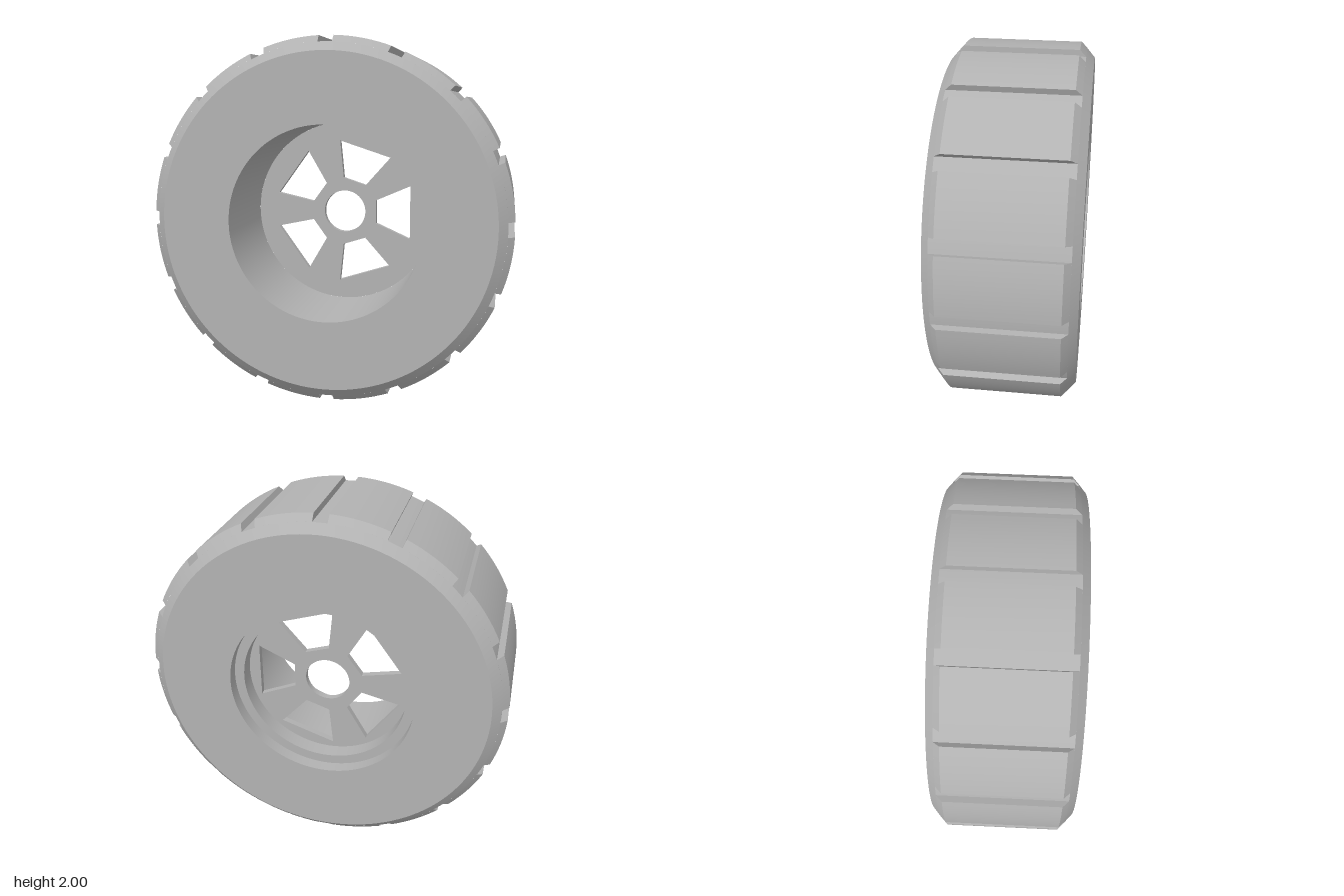
import * as THREE from 'three';
import { mergeGeometries, toCreasedNormals } from 'three/addons/utils/BufferGeometryUtils.js';

const GROOVES = 16;
const TREAD_R = 1, FLOOR_R = 0.965, GROOVE_HALF = 0.04;
const DISC_FRONT = -0.18, DISC_BACK = -0.215, RECESS_R = 0.535;

const vec = ([x, y]) => new THREE.Vector2(x, y);

// Profile of [radius, z] points turned about the y axis
const turn = (profile, segments, start = 0, length = Math.PI * 2) =>
  new THREE.LatheGeometry(profile.map(vec), segments, start, length);

// One raised tread block between two grooves, closed at both ends
function treadGeometry() {
  const profile = [[FLOOR_R, -0.333], [TREAD_R, -0.3], [TREAD_R, 0.3], [FLOOR_R, 0.333]];
  const gap = Math.asin(GROOVE_HALF / TREAD_R);
  const start = gap, end = Math.PI * 2 / GROOVES - gap;
  const startCap = new THREE.ShapeGeometry(new THREE.Shape(profile.map(vec)));
  const endCap = startCap.clone().rotateX(Math.PI);
  startCap.rotateY(start - Math.PI / 2);
  endCap.rotateY(end - Math.PI / 2);
  const merged = mergeGeometries([turn(profile, 8, start, end - start), startCap, endCap]);
  return toCreasedNormals(merged, 0.5).rotateX(Math.PI / 2);
}

// Wheel disc with a hub hole and five tapered windows
function discGeometry() {
  const shape = new THREE.Shape().absarc(0, 0, RECESS_R, 0, Math.PI * 2, false);
  shape.holes.push(new THREE.Path().absarc(0, 0, 0.125, 0, Math.PI * 2, true));
  const corners = [[0.19, 0.07], [0.395, 0.16], [0.395, -0.16], [0.19, -0.07]];
  for (let i = 0; i < 5; i++) {
    const angle = i * Math.PI * 2 / 5;
    const origin = new THREE.Vector2();
    shape.holes.push(new THREE.Path(corners.map(c => vec(c).rotateAround(origin, angle))));
  }
  const geometry = new THREE.ExtrudeGeometry(shape, {
    depth: DISC_FRONT - DISC_BACK, bevelEnabled: false, curveSegments: 48,
  });
  return toCreasedNormals(geometry, 0.5).translate(0, 0, DISC_BACK);
}

export function createModel() {
  const group = new THREE.Group();
  group.name = 'wheel';
  const grey = new THREE.MeshStandardMaterial({ color: 0xb2b2b2 });
  grey.name = 'grey';

  const add = (name, geometry, parent = group) => {
    const mesh = new THREE.Mesh(geometry, grey);
    mesh.name = name;
    parent.add(mesh);
    return mesh;
  };

  // Tyre body: groove floor, sidewalls, deep front recess and stepped back recess
  const body = turn([
    [0.46, DISC_BACK], [0.46, -0.305], [0.515, -0.305], [0.515, -0.375],
    [0.917, -0.375], [FLOOR_R, -0.333], [FLOOR_R, 0.333], [0.917, 0.375],
    [RECESS_R, 0.375], [RECESS_R, DISC_FRONT],
  ], 128);
  add('tyreBody', toCreasedNormals(body, 0.5).rotateX(Math.PI / 2));

  add('wheelDisc', discGeometry());

  // Tread blocks around the rim
  const treads = new THREE.Group();
  treads.name = 'treadBlocks';
  group.add(treads);
  const tread = treadGeometry();
  for (let i = 0; i < GROOVES; i++) {
    add('treadBlock', tread, treads).rotation.z = i * Math.PI * 2 / GROOVES;
  }

  group.position.y = TREAD_R;
  const root = new THREE.Group();
  root.name = 'wheelModel';
  root.add(group);
  return root;
}
